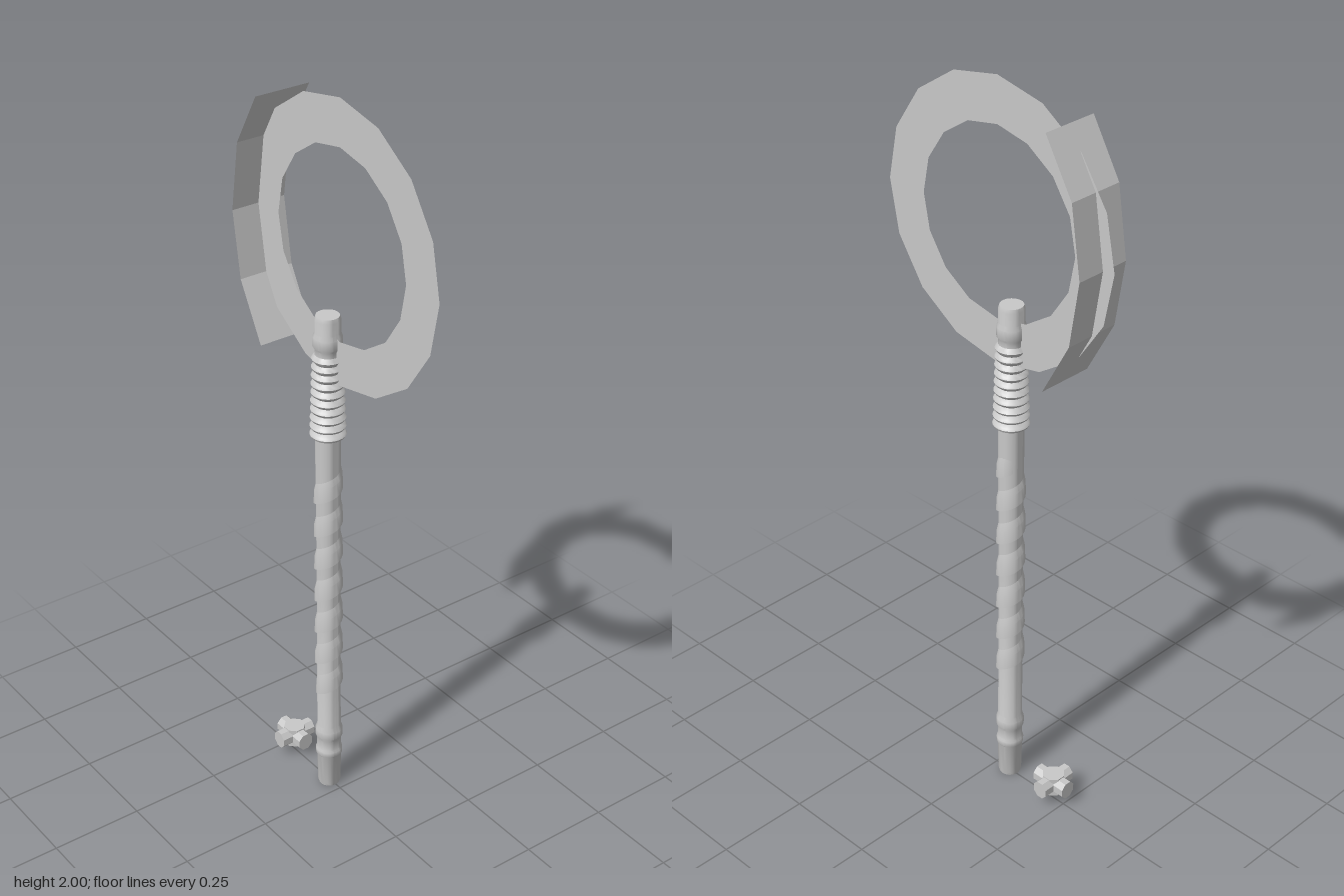
import * as THREE from 'three';
import { toCreasedNormals } from 'three/addons/utils/BufferGeometryUtils.js';

const grey = new THREE.MeshStandardMaterial({ color: 0xc8c8c8, side: THREE.DoubleSide });
grey.name = 'plain grey';

function part(name, geometry, parent) {
  const mesh = new THREE.Mesh(geometry, grey);
  mesh.name = name;
  parent.add(mesh);
  return mesh;
}

function lathe(points, sides = 24) {
  const profile = points.map(([r, y]) => new THREE.Vector2(r, y));
  return toCreasedNormals(new THREE.LatheGeometry(profile, sides), 0.6);
}

// Sheet through a grid of points: rows of equal length, joined in order
function sheet(rows) {
  const n = rows[0].length;
  const index = [];
  for (let i = 0; i < rows.length - 1; i++) {
    for (let j = 0; j < n - 1; j++) {
      const a = i * n + j, b = a + n;
      index.push(a, b, a + 1, b, b + 1, a + 1);
    }
  }
  const g = new THREE.BufferGeometry();
  g.setAttribute('position', new THREE.Float32BufferAttribute(rows.flat(2), 3));
  g.setIndex(index);
  return g;
}

// Raised band wound around the shaft, with a sharp lower edge
function helixWrap(y0, turns, pitch) {
  const section = [[0.029, 0], [0.0375, 0.002], [0.0365, 0.04], [0.029, 0.075]];
  const rows = [];
  const steps = turns * 24;
  for (let i = 0; i <= steps; i++) {
    const t = (i / 24) * Math.PI * 2 - Math.PI / 2;
    const y = y0 + (i / 24) * pitch;
    const fade = Math.min(1, i / 6, (steps - i) / 6);
    rows.push(section.map(([r, dy]) => {
      const rr = 0.029 + (r - 0.029) * fade;
      return [Math.sin(t) * rr, y + dy, Math.cos(t) * rr];
    }));
  }
  return toCreasedNormals(sheet(rows), 0.6);
}

export function createModel() {
  const model = new THREE.Group();
  model.name = 'model';

  // Flat sixteen-sided ring
  part('flatRing', new THREE.RingGeometry(0.25, 0.37, 16), model).position.y = 1.63;

  // Bent strip crossing the ring's side
  const bend = [[-0.225, 1.95], [-0.307, 1.81], [-0.335, 1.625], [-0.307, 1.45], [-0.225, 1.30]];
  const strip = sheet(bend.map(([x, y]) => [[x, y, 0.077], [x, y, -0.077]])).toNonIndexed();
  strip.computeVertexNormals();
  part('bentStrip', strip, model);

  // Upright handle
  const handle = new THREE.Group();
  handle.name = 'handle';
  handle.position.set(-0.047, 0, 0.002);
  model.add(handle);

  part('shaft', lathe([
    [0, 0], [0.028, 0], [0.031, 0.01], [0.033, 0.1], [0.036, 0.105], [0.036, 0.118],
    [0.033, 0.125], [0.033, 0.155], [0.037, 0.165], [0.037, 0.185], [0.032, 0.2],
    [0.031, 0.7], [0.033, 1.1], [0.033, 1.11],
  ]), handle);
  part('spiralWrap', helixWrap(0.285, 7, 0.1), handle);

  // Ribbed grip, narrowing slightly upward
  const ribs = 10, spacing = 0.0235;
  const grip = [[0.03, 1.098]];
  for (let i = 0; i < ribs; i++) {
    const y = 1.108 + i * spacing;
    const r = 0.047 - 0.006 * i / (ribs - 1);
    grip.push([r - 0.003, y - 0.006], [r, y], [r - 0.003, y + 0.005], [0.033, y + 0.0115]);
  }
  part('ribbedGrip', lathe(grip), handle);

  // Collar and cap above the grip
  part('topCap', lathe([
    [0.033, 1.33], [0.033, 1.345], [0.037, 1.352], [0.037, 1.378], [0.033, 1.39],
    [0.033, 1.425], [0.030, 1.435], [0, 1.435],
  ]), handle);

  // Small cross fitting made from two octagonal bars
  const cross = new THREE.Group();
  cross.name = 'crossFitting';
  cross.position.set(-0.2125, 0.057, 0);
  model.add(cross);
  for (const turn of [0, Math.PI / 2]) {
    const bar = new THREE.CylinderGeometry(0.0235, 0.0235, 0.105, 8);
    bar.rotateY(Math.PI / 8).rotateX(Math.PI / 2).scale(1, 1.1, 1).rotateY(turn);
    part('crossBar', toCreasedNormals(bar, 0.3), cross);
  }
  const hub = new THREE.CylinderGeometry(0.03, 0.03, 0.054, 8).rotateY(Math.PI / 8);
  part('crossHub', toCreasedNormals(hub, 0.3), cross);

  return model;
}
